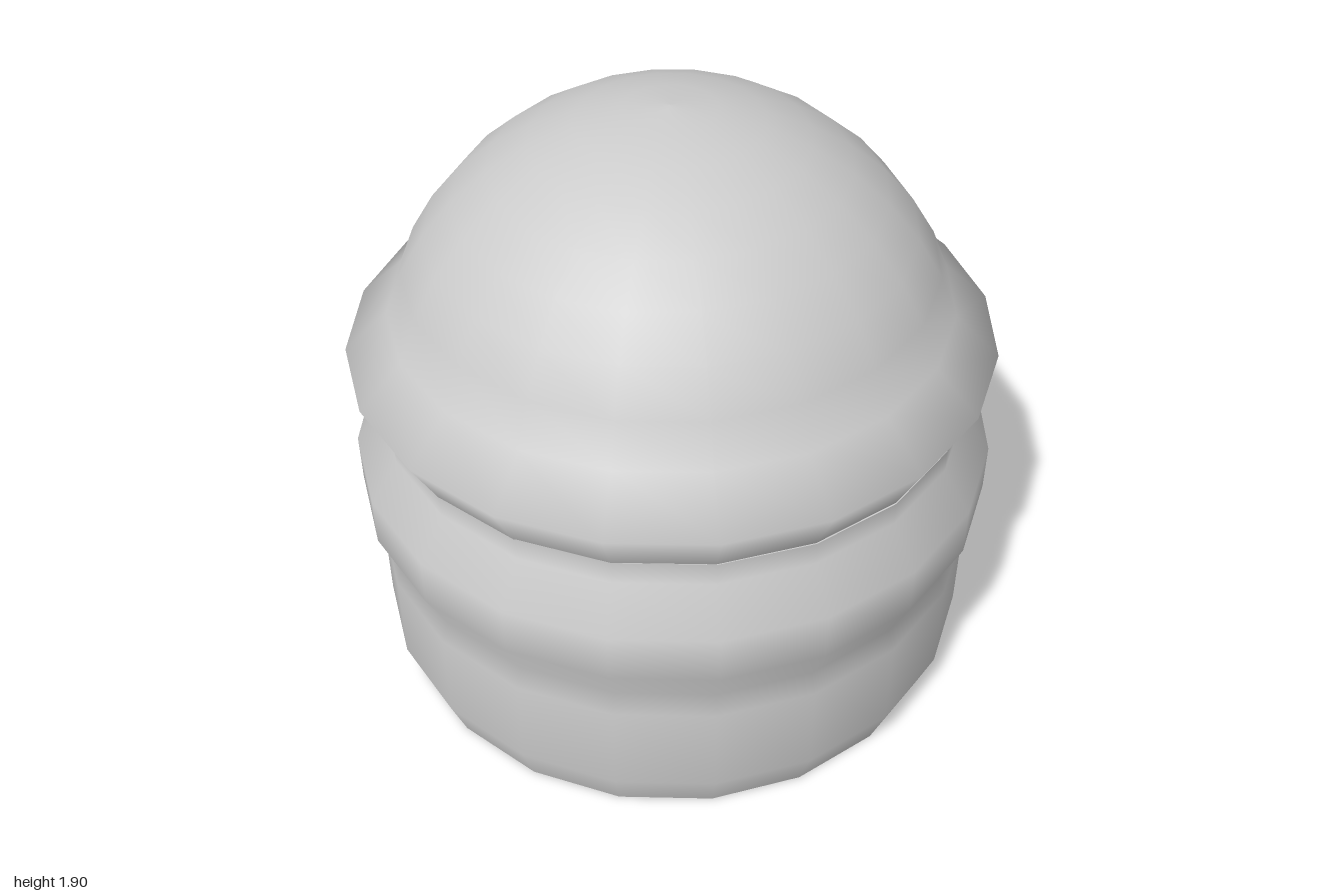
import * as THREE from 'three';

const SIDES = 20;
const material = new THREE.MeshStandardMaterial({ color: 0xcccccc });

// Smooth 20-sided turned part from [radius, height] pairs, bottom to top
function turned(name, profile) {
  const points = profile.map(([r, y]) => new THREE.Vector2(r, y));
  const mesh = new THREE.Mesh(new THREE.LatheGeometry(points, SIDES), material);
  mesh.name = name;
  return mesh;
}

// Flat disc with its own hard edge, facing up or down
function disc(name, radius, y, up) {
  const mesh = new THREE.Mesh(new THREE.CircleGeometry(radius, SIDES), material);
  mesh.rotation.x = up ? -Math.PI / 2 : Math.PI / 2;
  mesh.position.y = y;
  mesh.name = name;
  return mesh;
}

export function createModel() {
  const model = new THREE.Group();
  model.name = 'domedCapsule';

  // Lower body: base drum, groove, raised band and neck
  const body = new THREE.Group();
  body.name = 'body';
  body.add(
    turned('bodyWall', [
      [0.91, 0], [0.96, 0.135], [0.96, 0.44], [0.935, 0.505],
      [1, 0.64], [1, 0.795], [0.91, 0.925], [0.91, 1],
    ]),
    disc('bodyBottom', 0.91, 0, false),
    disc('bodyTop', 0.91, 1, true),
  );

  // Cap: flared rim, then a spherical dome in 9-degree rings
  const capProfile = [[0.91, -0.005], [0.993, 0.15]];
  for (let i = 8; i >= 0; i--) {
    const a = THREE.MathUtils.degToRad(i * 9);
    capProfile.push([0.9 * Math.sin(a), 0.9 * Math.cos(a)]);
  }
  const cap = new THREE.Group();
  cap.name = 'cap';
  cap.add(turned('rimAndDome', capProfile), disc('capUnderside', 0.91, -0.005, false));

  // The cap sits very slightly off centre and tilted
  cap.position.set(-0.006, 0.996, -0.004);
  cap.rotation.set(0.003, 0, 0.006);

  model.add(body, cap);
  return model;
}
